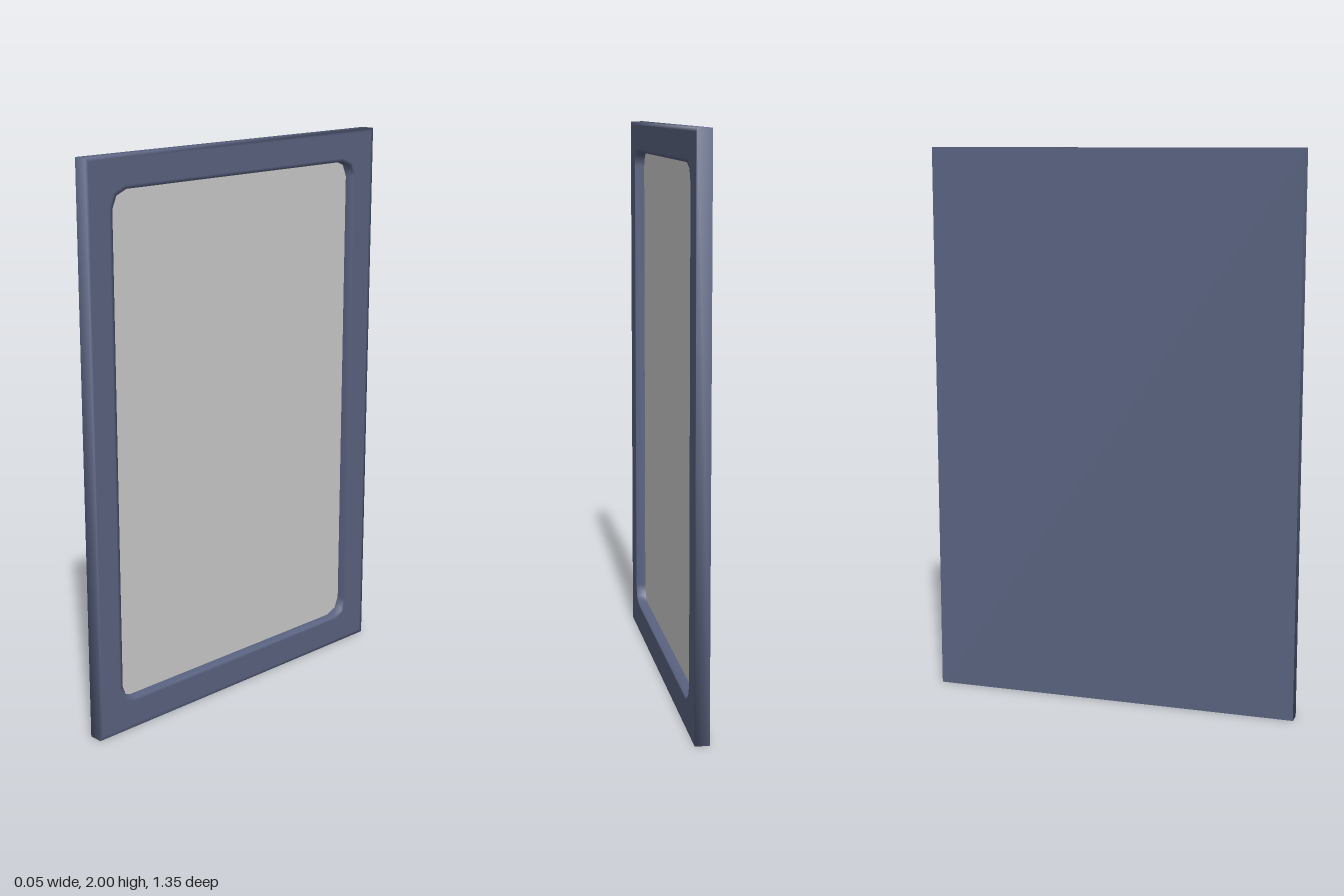
import * as THREE from 'three';
import { mergeVertices } from 'three/addons/utils/BufferGeometryUtils.js';

const T = 0.025;      // half thickness
const PANEL_X = -0.01; // depth of the recessed panel
const ARC = 2;        // segments per opening corner

// Counter-clockwise rounded rectangle seen from +x, centred at y = 1
function ring(x, halfW, halfH, r) {
  const pts = [];
  for (let c = 0; c < 4; c++) {
    const su = c === 0 || c === 3 ? 1 : -1;
    const sv = c < 2 ? 1 : -1;
    for (let i = 0; i <= ARC; i++) {
      const a = (c + i / ARC) * Math.PI / 2;
      const u = su * (halfW - r) + r * Math.cos(a);
      const v = sv * (halfH - r) + r * Math.sin(a);
      pts.push(new THREE.Vector3(x, 1 + v, -u));
    }
  }
  return pts;
}

// Skin consecutive rings with shared, smooth normals
function loft(rings) {
  const pos = [];
  const tri = (a, b, c) => {
    if (a.equals(b) || b.equals(c) || c.equals(a)) return;
    for (const p of [a, b, c]) pos.push(p.x, p.y, p.z);
  };
  for (let k = 0; k < rings.length - 1; k++) {
    const A = rings[k], B = rings[k + 1];
    for (let i = 0; i < A.length; i++) {
      const j = (i + 1) % A.length;
      tri(A[i], A[j], B[j]);
      tri(A[i], B[j], B[i]);
    }
  }
  const g = new THREE.BufferGeometry();
  g.setAttribute('position', new THREE.Float32BufferAttribute(pos, 3));
  const merged = mergeVertices(g);
  merged.computeVertexNormals();
  return merged;
}

export function createModel() {
  const group = new THREE.Group();
  group.name = 'framedPanel';
  const blue = new THREE.MeshStandardMaterial({ color: 0x5a6381 });
  const grey = new THREE.MeshStandardMaterial({ color: 0xcccccc });
  const add = (name, geometry, material) => {
    const mesh = new THREE.Mesh(geometry, material);
    mesh.name = name;
    group.add(mesh);
    return mesh;
  };

  // Frame: outer sides, soft-edged front face and walls of the recess
  add('frame', loft([
    ring(-T, 0.675, 1, 0),
    ring(T, 0.675, 1, 0),
    ring(T, 0.663, 0.988, 0),
    ring(T, 0.582, 0.902, 0.065),
    ring(T, 0.57, 0.89, 0.06),
    ring(PANEL_X, 0.57, 0.89, 0.06),
  ]), blue);

  // Flat back
  const back = add('backPlate', new THREE.PlaneGeometry(1.35, 2), blue);
  back.rotation.y = -Math.PI / 2;
  back.position.set(-T, 1, 0);

  // Recessed panel
  const outline = ring(0, 0.57, 0.89, 0.06).map(p => new THREE.Vector2(-p.z, p.y));
  const panel = add('panel', new THREE.ShapeGeometry(new THREE.Shape(outline)), grey);
  panel.rotation.y = Math.PI / 2;
  panel.position.x = PANEL_X;

  return group;
}
